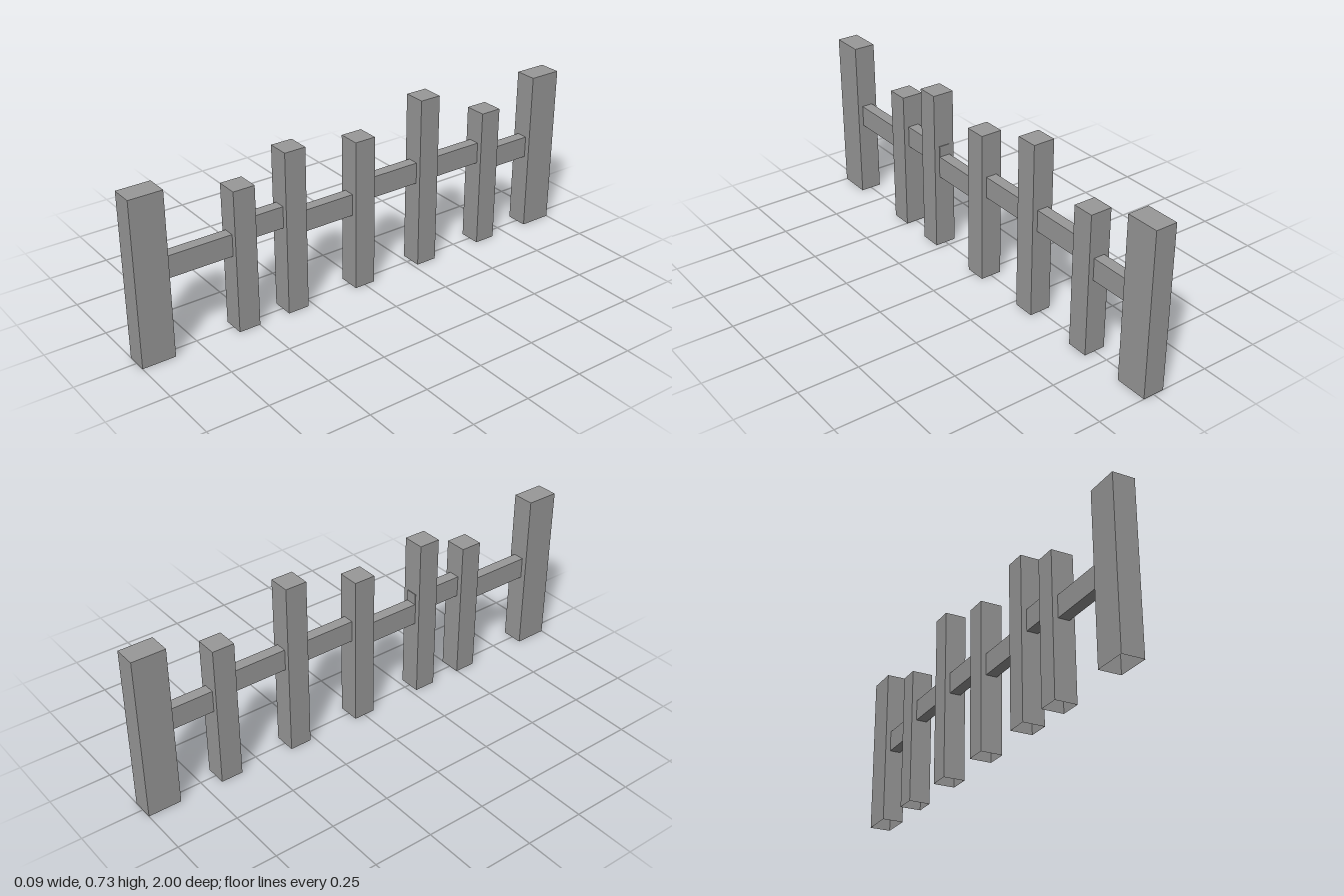
import * as THREE from 'three';

const W = 0.091; // post thickness

// Box without its underside, for posts standing on the ground
function openBottomBox(w, h, d) {
  const geo = new THREE.BoxGeometry(w, h, d);
  const index = Array.from(geo.index.array);
  index.splice(18, 6); // the -y face
  geo.setIndex(index);
  geo.clearGroups();
  return geo;
}

export function createModel() {
  const group = new THREE.Group();
  const material = new THREE.MeshStandardMaterial({
    color: 0x999999, flatShading: true, side: THREE.DoubleSide,
  });

  const add = (name, geo, y, z) => {
    const mesh = new THREE.Mesh(geo, material);
    mesh.name = name;
    mesh.position.set(0, y, z);
    group.add(mesh);
  };

  // Posts: name, centre z, height, depth
  const posts = [
    ['endPostFront', 0.9315, 0.685, 0.137],
    ['post1', 0.543, 0.594, W],
    ['post2', 0.32, 0.685, W],
    ['post3', 0, 0.639, W],
    ['post4', -0.316, 0.731, W],
    ['post5', -0.637, 0.594, W],
    ['endPostBack', -0.9315, 0.685, 0.137],
  ];
  for (const [name, z, h, d] of posts) add(name, openBottomBox(W, h, d), h / 2, z);

  // Rails, alternating low and high: start z, end z, bottom y, top y
  const rails = [
    [0.9, 0.543, 0.32, 0.411],
    [0.543, 0.271, 0.367, 0.457],
    [0.32, 0, 0.32, 0.411],
    [0, -0.637, 0.367, 0.457],
    [-0.637, -0.9, 0.32, 0.411],
  ];
  rails.forEach(([z0, z1, y0, y1], i) => {
    add(`rail${i + 1}`, new THREE.BoxGeometry(0.047, y1 - y0, z0 - z1), (y0 + y1) / 2, (z0 + z1) / 2);
  });

  return group;
}
